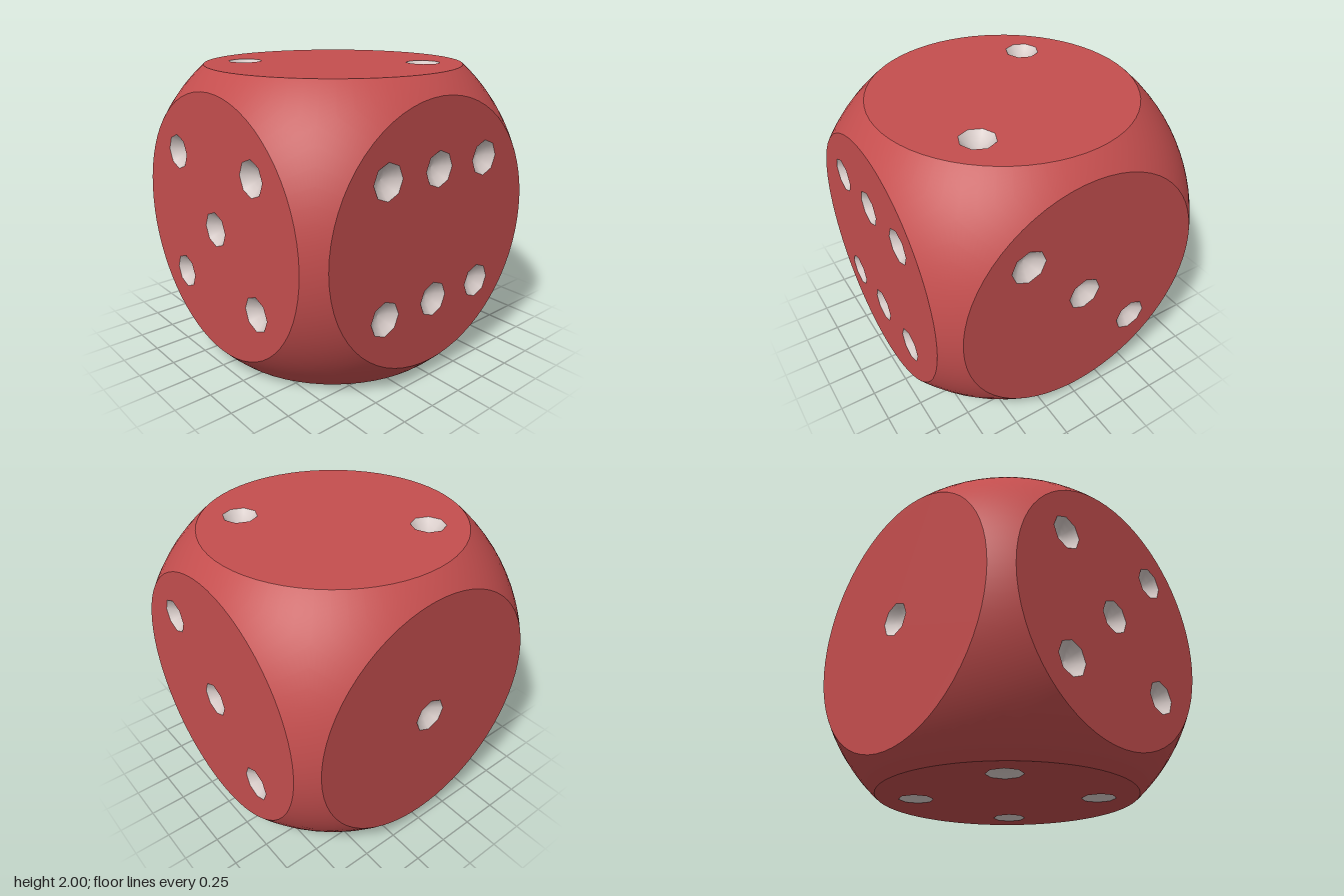
import * as THREE from 'three';

const FACE_R = 0.885;                 // radius of each flat round face
const BALL_R = Math.hypot(1, FACE_R); // rounding sphere that trims the cube
const PIP_R = 0.118, PIP_DEPTH = 0.07, STEP = 0.437;
const SEGS = 64;

const red = new THREE.MeshStandardMaterial({ color: 0xc44e4e });
red.name = 'red body';
const ivory = new THREE.MeshStandardMaterial({ color: 0xd6cac7 });
ivory.name = 'pale pip';

const ringPoints = (cx, cy, r, n) => Array.from({ length: n }, (_, i) => {
  const a = (i / n) * Math.PI * 2;
  return new THREE.Vector2(cx + r * Math.cos(a), cy + r * Math.sin(a));
});

// Flat round face with an octagonal hole for every pip
function faceGeometry(pips) {
  const shape = new THREE.Shape(ringPoints(0, 0, FACE_R, SEGS));
  for (const [x, y] of pips) shape.holes.push(new THREE.Path(ringPoints(x, y, PIP_R, 8).reverse()));
  return new THREE.ShapeGeometry(shape).translate(0, 0, 1);
}

// Sixth of the rounding sphere, from the round face out to its neighbours
function shoulderGeometry() {
  const geo = new THREE.PlaneGeometry(1, 1, SEGS, 8);
  const { position, normal, uv } = geo.attributes;
  const inner = new THREE.Vector3(), outer = new THREE.Vector3();
  for (let i = 0; i < position.count; i++) {
    const a = uv.getX(i) * Math.PI * 2, c = Math.cos(a), s = Math.sin(a);
    const m = Math.max(Math.abs(c), Math.abs(s));
    inner.set(FACE_R * c, FACE_R * s, 1).normalize();
    outer.set(c / m, s / m, 1).normalize();
    inner.lerp(outer, 1 - uv.getY(i)).normalize();
    normal.setXYZ(i, inner.x, inner.y, inner.z);
    position.setXYZ(i, inner.x * BALL_R, inner.y * BALL_R, inner.z * BALL_R);
  }
  return geo;
}

// Shallow eight-sided bowl, opening towards +z
function pipGeometry() {
  const profile = [1, 0.8, 0.55, 0.28, 0].map(
    (k) => new THREE.Vector2(PIP_R * k, -PIP_DEPTH * (1 - k * k)));
  return new THREE.LatheGeometry(profile, 8).rotateX(Math.PI / 2);
}

export function createModel() {
  const die = new THREE.Group();
  die.name = 'die';
  const shoulder = shoulderGeometry(), bowl = pipGeometry();
  const q = Math.PI / 2, d = STEP;
  const diagonal = [[-d, d], [d, -d]];
  const corners = [...diagonal, [d, d], [-d, -d]];

  // name, rotation about x, rotation about y, pip positions
  const sides = [
    ['front', 0, 0, [...corners, [0, d], [0, -d]]],
    ['back', 0, 2 * q, [[0, 0]]],
    ['plusX', 0, q, [...diagonal, [0, 0]]],
    ['minusX', 0, -q, [...corners, [0, 0]]],
    ['top', -q, 0, diagonal],
    ['bottom', q, 0, corners],
  ];

  for (const [name, rx, ry, pips] of sides) {
    const side = new THREE.Group();
    side.name = name + 'Side';
    side.rotation.set(rx, ry, 0);
    side.position.y = 1;
    const add = (part, geo, mat) => {
      const mesh = new THREE.Mesh(geo, mat);
      mesh.name = name + part;
      side.add(mesh);
      return mesh;
    };
    add('Face', faceGeometry(pips), red);
    add('Shoulder', shoulder, red);
    pips.forEach(([x, y], i) => add('Pip' + (i + 1), bowl, ivory).position.set(x, y, 1));
    die.add(side);
  }
  return die;
}
